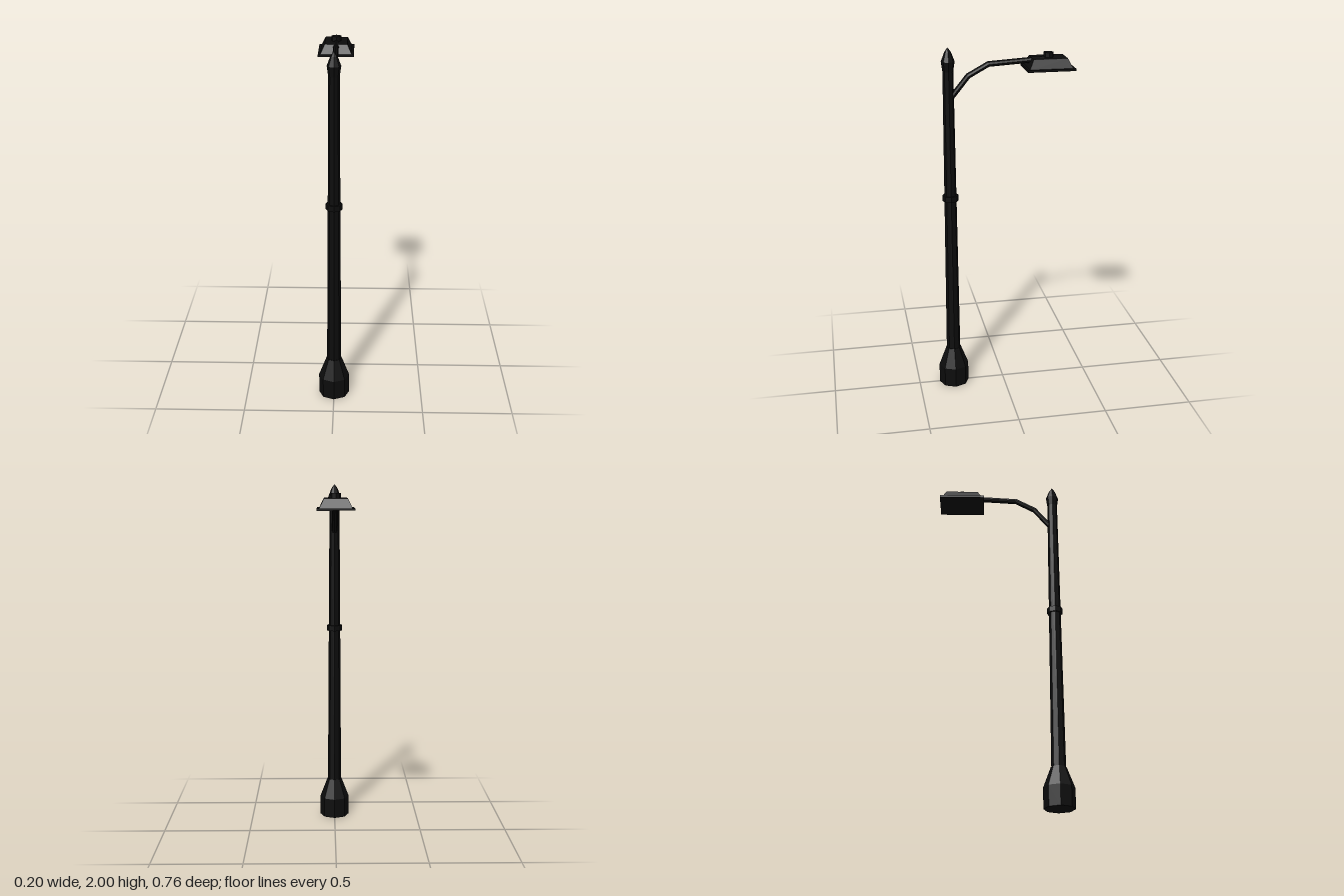
import * as THREE from 'three';

const POLE_Z = 0.295;
const LAMP_Z = -0.251;

export function createModel() {
  const model = new THREE.Group();
  model.name = 'streetLamp';
  const blackIron = new THREE.MeshStandardMaterial({ color: 0x0c0c0c });
  blackIron.name = 'blackIron';

  // Faceted mesh: every face gets its own normals
  function add(name, geometry, y, z) {
    const flat = geometry.index ? geometry.toNonIndexed() : geometry;
    flat.computeVertexNormals();
    const mesh = new THREE.Mesh(flat, blackIron);
    mesh.name = name;
    mesh.position.set(0, y, z);
    model.add(mesh);
    return mesh;
  }

  // Eight-sided solid of revolution from [radius, height] pairs
  const turned = (profile) =>
    new THREE.LatheGeometry(profile.map(([r, y]) => new THREE.Vector2(r, y)), 8);

  // Four-sided tapered block, open to any bottom and top size
  function taperedBox(bottomW, bottomD, topW, topD, height) {
    const g = new THREE.BoxGeometry(1, height, 1);
    const p = g.attributes.position;
    for (let i = 0; i < p.count; i++) {
      const top = p.getY(i) > 0;
      p.setX(i, p.getX(i) * (top ? topW : bottomW));
      p.setZ(i, p.getZ(i) * (top ? topD : bottomD));
    }
    return g;
  }

  // Mitred round bar along a path of [z, y] points
  function bentBar(path, radius) {
    const n = path.length - 1;
    const pts = path.map(([z, y]) => new THREE.Vector2(z, y));
    const dir = (i) => pts[i + 1].clone().sub(pts[i]).normalize();
    const g = new THREE.CylinderGeometry(radius, radius, 1, 8, n);
    const p = g.attributes.position;
    for (let i = 0; i < p.count; i++) {
      const k = Math.round((p.getY(i) + 0.5) * n);
      const before = dir(Math.max(k - 1, 0));
      const after = dir(Math.min(k, n - 1));
      const t = before.clone().add(after).normalize();
      const side = p.getZ(i) / t.dot(after);
      p.setXYZ(i, p.getX(i), pts[k].y - t.x * side, pts[k].x + t.y * side);
    }
    return g;
  }

  // Pole: flared foot, tapering shaft, collar and pointed cap
  add('base', turned([[0, 0], [0.086, 0], [0.086, 0.115], [0.043, 0.228], [0, 0.228]]), 0, POLE_Z);
  add('shaft', turned([[0.04, 0.22], [0.029, 1.9]]), 0, POLE_Z);
  add('collar', new THREE.CylinderGeometry(0.045, 0.045, 0.032, 8), 1.16, POLE_Z);
  add('finial', turned([[0, 1.87], [0.029, 1.87], [0.037, 1.925], [0.018, 1.975], [0, 2]]), 0, POLE_Z);

  // Bent arm reaching back to the lamp
  add('arm', bentBar([[0.295, 1.71], [0.187, 1.843], [0.077, 1.903], [LAMP_Z, 1.923]], 0.0155), 0, 0);

  // Lamp head: brim, sloping shade and mounting cap
  add('lampBrim', new THREE.BoxGeometry(0.198, 0.012, 0.262), 1.874, LAMP_Z);
  add('lampShade', taperedBox(0.174, 0.238, 0.124, 0.186, 0.052), 1.904, LAMP_Z);
  add('lampCap', new THREE.CylinderGeometry(0.028, 0.028, 0.04, 8), 1.936, LAMP_Z);

  return model;
}
